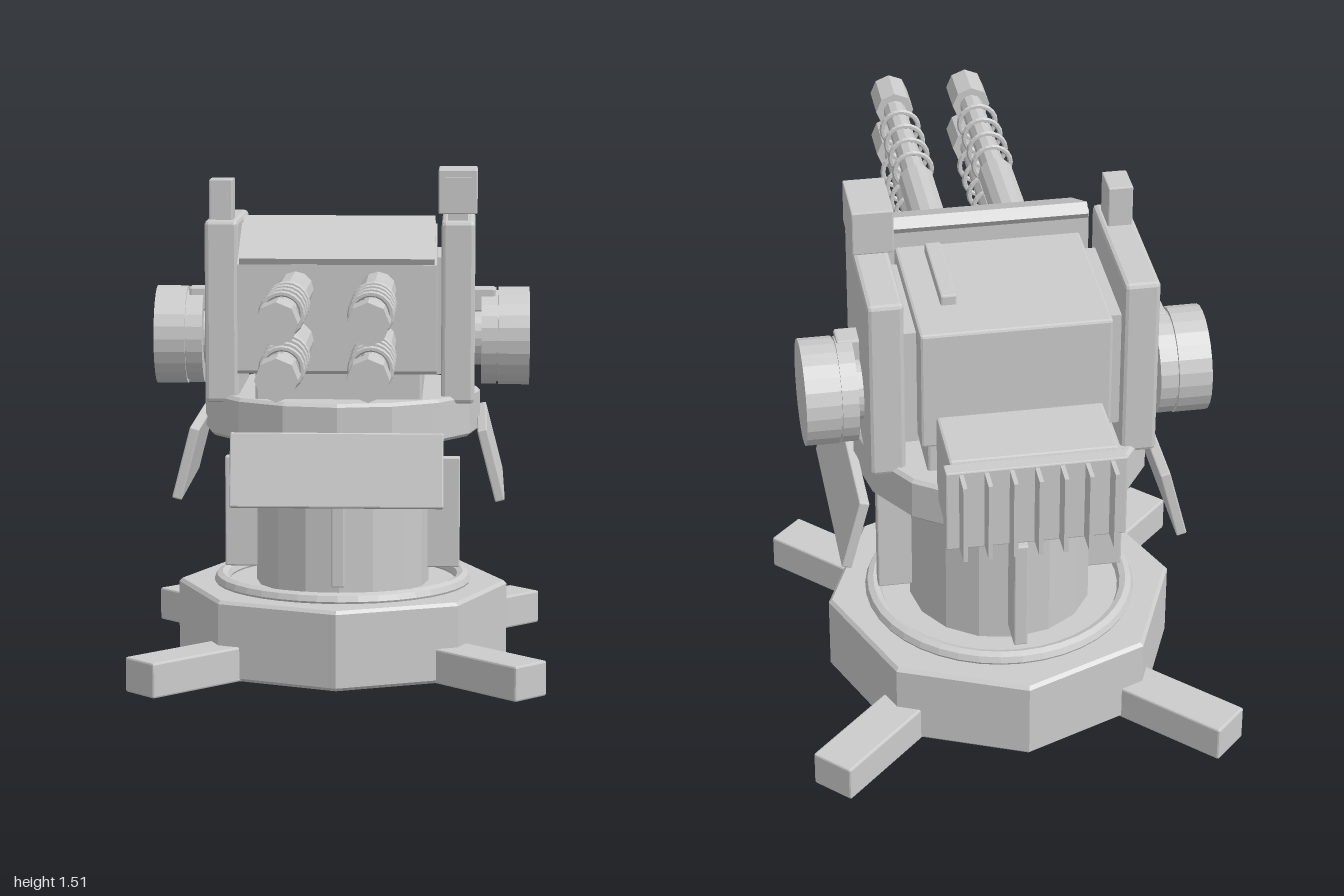
import * as THREE from 'three';
import { RoundedBoxGeometry } from 'three/addons/geometries/RoundedBoxGeometry.js';

const grey = new THREE.MeshStandardMaterial({ color: 0xcccccc, flatShading: true });
const CZ = -0.355; // z of the turret's vertical axis

export function createModel() {
  const root = new THREE.Group();

  const group = (name, parent = root) => {
    const g = new THREE.Group();
    g.name = name;
    parent.add(g);
    return g;
  };
  const add = (name, geo, x = 0, y = 0, z = 0, parent = root) => {
    const m = new THREE.Mesh(geo, grey);
    m.name = name;
    m.position.set(x, y, z);
    parent.add(m);
    return m;
  };
  // box from its extents, with slightly softened edges when r > 0
  const box = (name, [x0, x1], [y0, y1], [z0, z1], r = 0.008, parent = root) => {
    const s = [x1 - x0, y1 - y0, z1 - z0];
    const geo = r ? new RoundedBoxGeometry(...s, 1, r) : new THREE.BoxGeometry(...s);
    return add(name, geo, (x0 + x1) / 2, (y0 + y1) / 2, (z0 + z1) / 2, parent);
  };
  // chamfered upright disc
  const disc = (name, r, y0, y1, sides, c = 0.01, z = CZ) => {
    const pts = [[0, y0], [r - c, y0], [r, y0 + c], [r, y1 - c], [r - c, y1], [0, y1]];
    return add(name, new THREE.LatheGeometry(pts.map(p => new THREE.Vector2(...p)), sides), 0, 0, z);
  };

  // base with four diagonal legs
  disc('base', 0.505, 0, 0.24, 8);
  for (let i = 0; i < 4; i++) {
    const leg = group('leg');
    leg.position.z = CZ;
    leg.rotation.y = Math.PI / 4 + i * Math.PI / 2;
    box('legBeam', [-0.065, 0.065], [0, 0.105], [0.35, 0.808], 0.006, leg);
  }
  const ring = add('baseRing', new THREE.TorusGeometry(0.37, 0.024, 8, 40), 0, 0.246, CZ);
  ring.rotation.x = Math.PI / 2;

  // column with four upright ribs, and the collar on top
  add('column', new THREE.CylinderGeometry(0.265, 0.265, 0.5, 16), 0, 0.48, CZ);
  for (let i = 0; i < 4; i++) {
    const rib = group('columnRib');
    rib.position.z = CZ;
    rib.rotation.y = i * Math.PI / 2;
    box('ribPlate', [-0.02, 0.02], [0.283, 0.623], [0.22, 0.36], 0.004, rib);
  }
  disc('collar', 0.42, 0.71, 0.84, 16);

  // tilted armour skirts: front, left and right
  const skirt = (name, x, z, turn, width) => {
    const g = group(name);
    g.position.set(x, 0.649, z);
    g.rotation.y = turn;
    const plate = add('skirtPlate', new RoundedBoxGeometry(width, 0.22, 0.03, 1, 0.004), 0, 0, 0, g);
    plate.rotation.x = -0.253;
  };
  skirt('frontSkirt', 0, 0.095, 0, 0.625);
  skirt('leftSkirt', 0.452, -0.32, Math.PI / 2, 0.6);
  skirt('rightSkirt', -0.452, -0.32, -Math.PI / 2, 0.6);

  // gun housing
  box('lowerHousing', [-0.247, 0.247], [0.78, 0.95], [-0.615, -0.05]);
  box('housing', [-0.265, 0.265], [0.92, 1.28], [-0.62, -0.1]);
  box('roofBar', [0.14, 0.185], [1.27, 1.31], [-0.47, -0.175], 0.005);

  // mantlet: side profile drawn as (z, y), extruded across x
  const extrudeX = (name, pts, width) => {
    const shape = new THREE.Shape(pts.map(p => new THREE.Vector2(-p[0], p[1])));
    const geo = new THREE.ExtrudeGeometry(shape, { depth: width, bevelEnabled: false });
    geo.translate(0, 0, -width / 2).rotateY(Math.PI / 2);
    return add(name, geo);
  };
  extrudeX('mantlet', [[-0.14, 0.93], [0.065, 0.93], [0.075, 0.94], [0.075, 1.25], [-0.14, 1.355]], 0.58);
  extrudeX('visor', [[0.072, 1.245], [0.083, 1.268], [-0.14, 1.378], [-0.168, 1.355], [-0.155, 1.335]], 0.568);

  // four barrels with cooling rings and muzzles
  const tube = (name, r, z0, z1, sides, parent) => {
    const geo = new THREE.CylinderGeometry(r, r, z1 - z0, sides).rotateX(Math.PI / 2);
    return add(name, geo, 0, 0, (z0 + z1) / 2, parent);
  };
  for (const x of [-0.12, 0.12]) {
    for (const y of [1.03, 1.178]) {
      const barrel = group('barrel');
      barrel.position.set(x, y, 0);
      tube('barrelSleeve', 0.053, 0.05, 0.42, 12, barrel);
      tube('barrelTube', 0.035, 0.4, 0.9, 10, barrel);
      tube('muzzle', 0.058, 0.87, 1, 8, barrel);
      for (const z of [0.485, 0.572, 0.662, 0.753])
        add('coolingRing', new THREE.TorusGeometry(0.056, 0.008, 6, 20), 0, 0, z, barrel);
    }
  }

  // side plates and ammunition drums
  for (const s of [-1, 1]) {
    const side = s > 0 ? 'left' : 'right';
    const span = (a, b) => (s > 0 ? [a, b] : [-b, -a]);
    box(side + 'SidePlate', span(0.302, 0.402), [0.818, 1.362], [-0.585, -0.125], 0.012);
    box(side + 'PlateMount', span(0.25, 0.31), [0.9, 1.25], [-0.55, -0.18], 0);
    const drum = group(side + 'Drum');
    drum.position.set(0, 0.993, -0.395);
    const rod = (name, r, a, b) => {
      const geo = new THREE.CylinderGeometry(r, r, b - a, 24).rotateZ(Math.PI / 2);
      add(name, geo, s * (a + b) / 2, 0, 0, drum);
    };
    rod('drumHub', 0.09, 0.39, 0.44);
    rod('drumBack', 0.148, 0.422, 0.468);
    rod('drumGroove', 0.14, 0.466, 0.476);
    rod('drumFront', 0.15, 0.474, 0.568);
    box('drumLatch', span(0.39, 0.465), [0.08, 0.152], [0, 0.075], 0.006, drum);
  }

  // sensors on the side plates
  box('leftSensorFoot', [0.32, 0.38], [1.355, 1.39], [-0.25, -0.155], 0);
  box('leftSensor', [0.292, 0.408], [1.382, 1.513], [-0.338, -0.145], 0.004);
  box('leftSensorLens', [0.311, 0.389], [1.41, 1.49], [-0.16, -0.133], 0);
  box('rightSensor', [-0.39, -0.32], [1.355, 1.482], [-0.26, -0.16], 0.004);
  box('rightSensorLens', [-0.376, -0.334], [1.41, 1.445], [-0.17, -0.148], 0);

  // rear radiator with its row of fins
  box('radiator', [-0.23, 0.23], [0.788, 1.05], [-0.89, -0.665]);
  box('radiatorFlange', [-0.246, 0.246], [0.796, 1.043], [-0.932, -0.887], 0.004);
  for (let i = -3; i <= 3; i++)
    box('radiatorFin', [i * 0.068 - 0.006, i * 0.068 + 0.006], [0.802, 1.037], [-1, -0.92], 0);

  return root;
}
